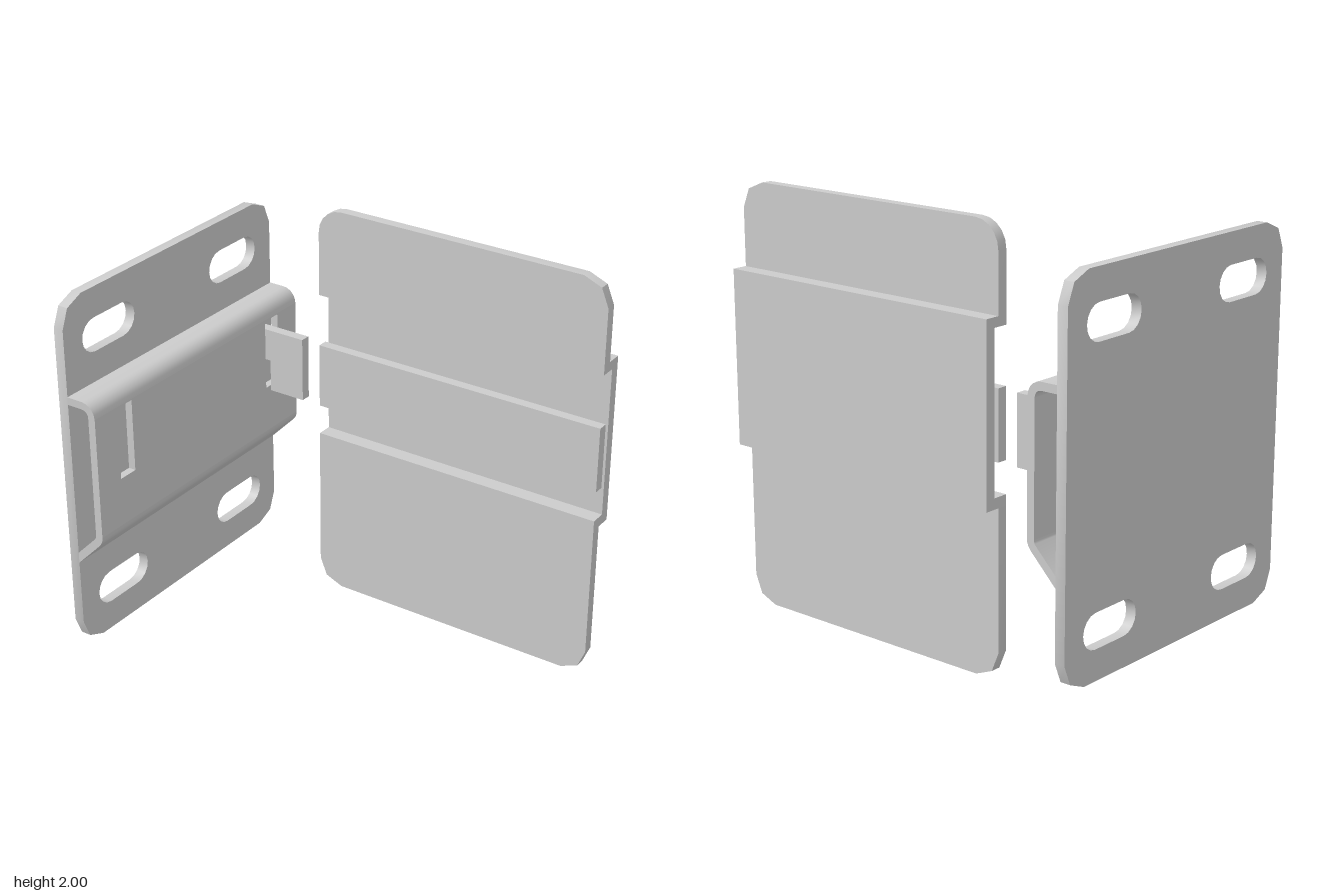
import * as THREE from 'three';
import { toCreasedNormals } from 'three/addons/utils/BufferGeometryUtils.js';

const material = new THREE.MeshStandardMaterial({ color: 0xcccccc });
const HALF_PI = Math.PI / 2;

// Points along an arc, angles in quarter turns
function arc(cx, cy, r, from, to, segs) {
  return Array.from({ length: segs + 1 }, (_, i) => {
    const a = (from + (to - from) * i / segs) * HALF_PI;
    return [cx + r * Math.cos(a), cy + r * Math.sin(a)];
  });
}

const toShape = (pts) => new THREE.Shape(pts.map(([x, y]) => new THREE.Vector2(x, y)));
const toHole = (pts) => new THREE.Path(pts.map(([x, y]) => new THREE.Vector2(x, y)));
const box = (x0, x1, y0, y1) => [[x0, y0], [x1, y0], [x1, y1], [x0, y1]];

// Rectangle with corner facets; segs lists right-top, left-top, left-bottom, right-bottom (0 = square)
function roundedRect(x0, x1, y0, y1, r, segs) {
  const corners = [[x1, y1, -1, -1], [x0, y1, 1, -1], [x0, y0, 1, 1], [x1, y0, -1, 1]];
  return corners.flatMap(([x, y, sx, sy], q) =>
    segs[q] ? arc(x + sx * r, y + sy * r, r, q, q + 1, segs[q]) : [[x, y]]);
}

// Horizontal slot with round ends
function slot(cx, cy, half, r) {
  return [...arc(cx + half - r, cy, r, -1, 1, 8), ...arc(cx - half + r, cy, r, 1, 3, 8)];
}

// Extrude along z from "start"; with sideways, the shape's x becomes -z and it extrudes along x
function extrude(name, pts, start, depth, { holes = [], sideways = false } = {}) {
  const shape = toShape(pts);
  shape.holes = holes.map(toHole);
  let geo = new THREE.ExtrudeGeometry(shape, { depth, bevelEnabled: false });
  geo.translate(0, 0, start);
  if (sideways) geo.rotateY(HALF_PI);
  geo = toCreasedNormals(geo, 0.5);
  const mesh = new THREE.Mesh(geo, material);
  mesh.name = name;
  return mesh;
}

function createWallBracket() {
  const group = new THREE.Group();
  group.name = 'wallBracket';

  // Base plate with four mounting slots
  const slots = [];
  for (const z of [-0.452, 0.452]) for (const y of [0.353, 1.655]) slots.push(slot(z, y, 0.178, 0.081));
  group.add(extrude('basePlate', roundedRect(-0.75, 0.75, 0.13, 1.88, 0.13, [2, 2, 2, 2]),
    -1, 0.05, { holes: slots, sideways: true }));

  // Raised face with two hook windows
  const windows = [-1, 1].map((s) => box(s * 0.55 - 0.05, s * 0.55 + 0.05, 1.0, 1.355));
  group.add(extrude('channelFace', box(-0.75, 0.75, 0.765, 1.36), -0.837, 0.037,
    { holes: windows, sideways: true }));

  // Curved top of the channel
  group.add(extrude('channelTop', [
    [-0.95, 1.393], ...arc(-0.87, 1.36, 0.033, 1, 0, 5),
    ...arc(-0.87, 1.36, 0.07, 0, 1, 5), [-0.95, 1.43],
  ], -0.75, 1.5));

  // Sloping bottom of the channel
  group.add(extrude('channelSlope', [
    [-0.95, 0.584], ...arc(-0.87, 0.765, 0.07, -0.5, 0, 3),
    ...arc(-0.87, 0.765, 0.033, 0, -0.5, 3), [-0.95, 0.637],
  ], -0.75, 1.5));
  return group;
}

function createPanel() {
  const group = new THREE.Group();
  group.name = 'panel';

  // Flat upper and lower parts with rounded outer corners
  group.add(extrude('upperPanel', roundedRect(-0.5, 1, 1.605, 2, 0.125, [2, 5, 0, 0]), -0.575, 0.05));
  group.add(extrude('lowerPanel', roundedRect(-0.5, 1, 0, 0.78, 0.125, [0, 0, 2, 2]), -0.575, 0.05));

  // Recessed channel across the middle, profile in (-z, y)
  group.add(extrude('recessedChannel', [
    [0.525, 1.605], [0.525, 1.56], [0.6, 1.56], [0.6, 0.83], [0.525, 0.83], [0.525, 0.78],
    [0.65, 0.78], [0.65, 1.605],
  ], -0.5, 1.5, { sideways: true }));
  return group;
}

export function createModel() {
  const model = new THREE.Group();
  model.name = 'mountedPanel';
  model.add(createWallBracket(), createPanel());

  // Cross bar running inside the recess
  model.add(extrude('crossBar', box(-0.5, 1, 0.98, 1.3), -0.575, 0.05));

  // Hook that passes through the bracket window
  model.add(extrude('hook', [
    [-0.925, 1.3], [-0.925, 1.06], [-0.853, 1.06], [-0.853, 1.14],
    [-0.79, 1.14], [-0.79, 0.98], [-0.6, 0.98], [-0.6, 1.3],
  ], -0.575, 0.05));
  return model;
}
